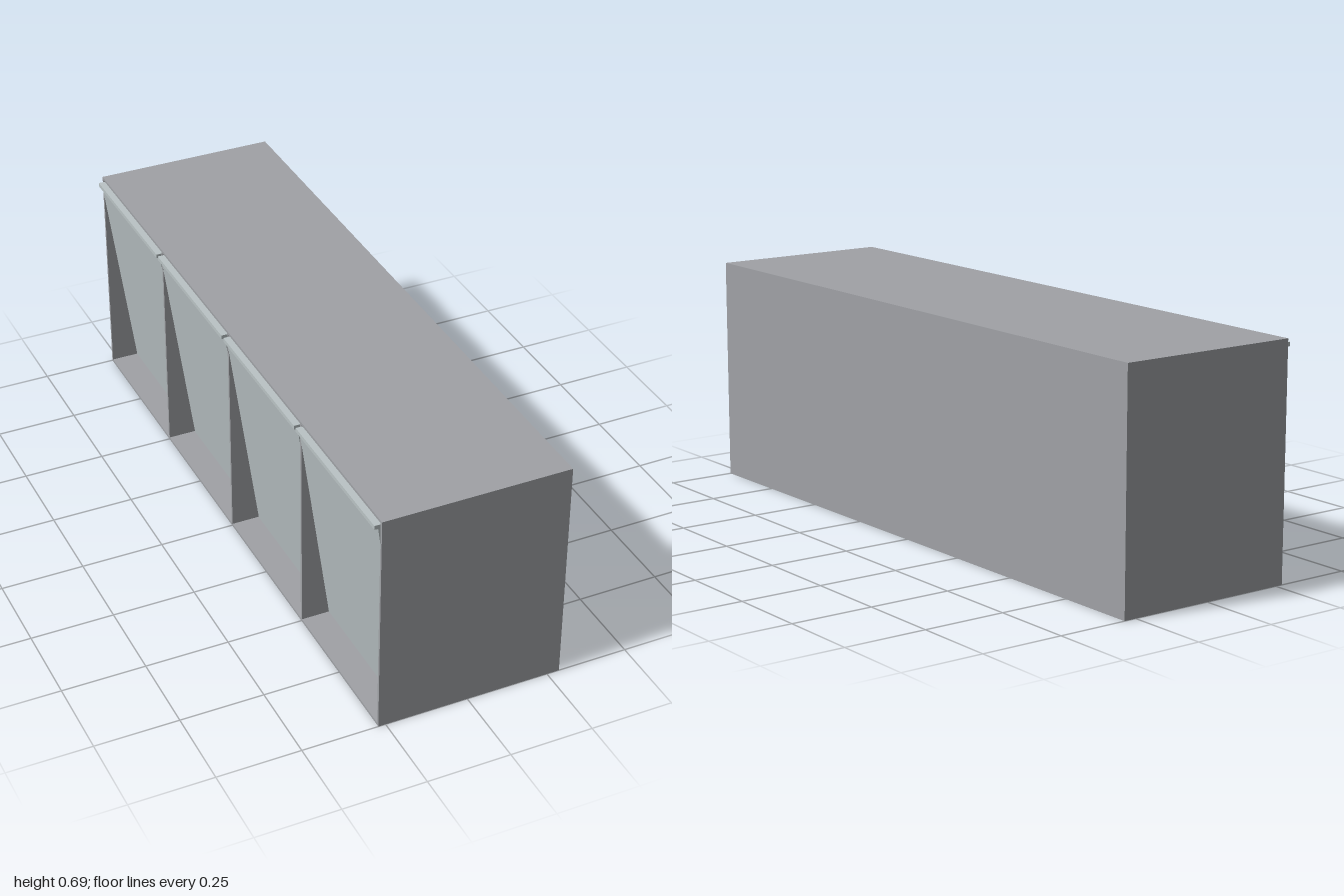
import * as THREE from 'three';

export function createModel() {
  const bodyGrey = new THREE.MeshStandardMaterial({ color: 0xa0a2a6 });
  bodyGrey.name = 'bodyGrey';
  const doorGrey = new THREE.MeshStandardMaterial({ color: 0xbac3c5 });
  doorGrey.name = 'doorGrey';

  const model = new THREE.Group();
  model.name = 'cabinet';

  // Carcass limits: the open side faces -x
  const X0 = -0.272, X1 = 0.288, H = 0.69, T = 0.008;

  // Box given by its lower and upper corners
  function board(name, x0, x1, y0, y1, z0, z1) {
    const mesh = new THREE.Mesh(new THREE.BoxGeometry(x1 - x0, y1 - y0, z1 - z0), bodyGrey);
    mesh.position.set((x0 + x1) / 2, (y0 + y1) / 2, (z0 + z1) / 2);
    mesh.name = name;
    model.add(mesh);
  }

  board('floorPanel', X0, X1, 0, T, -1, 1);
  board('topPanel', X0, X1, H - T, H, -1, 1);
  board('backPanel', X1 - T, X1, T, H - T, -1, 1);
  board('endPanelFront', X0, X1 - T, T, H - T, 1 - T, 1);
  board('endPanelRear', X0, X1 - T, T, H - T, -1, -1 + T);
  for (const z of [-0.5, 0, 0.5]) {
    board('divider', X0, X1 - T, T, H - T, z - T / 2, z + T / 2);
  }

  // Tilted flap with a grip lip along its upper edge, as one profile
  const profile = new THREE.Shape([
    [-0.289, 0.677], [-0.289, 0.665], [-0.278, 0.664],
    [-0.187, T], [-0.177, T], [-0.268, 0.677],
  ].map(([x, y]) => new THREE.Vector2(x, y)));
  const length = 0.486;
  const flap = new THREE.ExtrudeGeometry(profile, { depth: length, bevelEnabled: false });
  flap.translate(0, 0, -length / 2);
  for (const z of [-0.747, -0.25, 0.25, 0.747]) {
    const door = new THREE.Mesh(flap, doorGrey);
    door.name = 'tiltedDoor';
    door.position.z = z;
    model.add(door);
  }
  return model;
}
